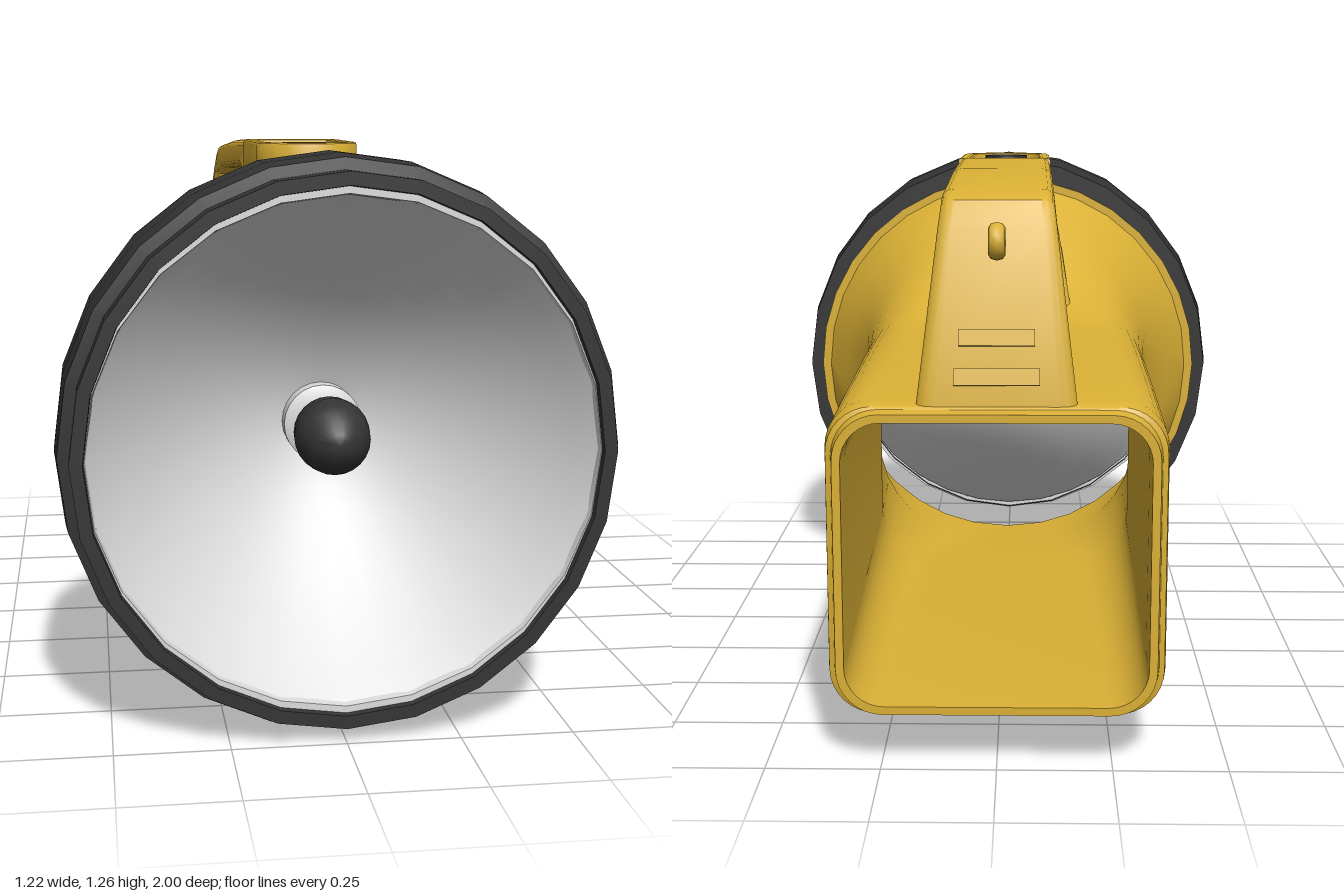
import * as THREE from 'three';
import { toCreasedNormals } from 'three/addons/utils/BufferGeometryUtils.js';

const CY = 0.628; // height of the lamp axis

const mat = (name, color, side = THREE.FrontSide) => {
  const m = new THREE.MeshStandardMaterial({ color, side });
  m.name = name;
  return m;
};

// Rounded rectangle cross-section, counter-clockwise seen from the front
function section([z, w, y0, y1, r]) {
  const pts = [], cy = (y0 + y1) / 2, h = (y1 - y0) / 2, n = 8;
  const corners = [[1, 1], [-1, 1], [-1, -1], [1, -1]];
  corners.forEach(([sx, sy], q) => {
    for (let i = 0; i <= n; i++) {
      const a = (q + i / n) * Math.PI / 2;
      pts.push([sx * (w - r) + r * Math.cos(a), cy + sy * (h - r) + r * Math.sin(a), z]);
    }
  });
  return pts;
}

// Skin a list of sections
function loft(stations) {
  const rings = stations.map(section), n = rings[0].length, idx = [];
  for (let i = 0; i < rings.length - 1; i++) {
    for (let j = 0; j < n; j++) {
      const a = i * n + j, b = i * n + (j + 1) % n, c = a + n, d = b + n;
      idx.push(a, c, b, b, c, d);
    }
  }
  const g = new THREE.BufferGeometry();
  g.setAttribute('position', new THREE.Float32BufferAttribute(rings.flat(2), 3));
  g.setIndex(idx);
  g.computeVertexNormals();
  return toCreasedNormals(g, 0.6);
}

// Revolve [radius, z] points about the lamp axis
function lathe(points, segments, crease = 0.6) {
  const g = new THREE.LatheGeometry(points.map(p => new THREE.Vector2(...p)), segments);
  g.rotateX(Math.PI / 2);
  return toCreasedNormals(g, crease);
}

// Plan outline with a rounded front end: half width, back z, front z
function slot(Kind, w, back, front) {
  const s = new Kind();
  s.moveTo(-w, back);
  s.lineTo(w, back);
  s.lineTo(w, front - w);
  s.absarc(0, front - w, w, 0, Math.PI, false);
  s.closePath();
  return s;
}

// Extrude a plan outline downward from y = 0
function slab(shape, depth, bevel = 0) {
  const g = new THREE.ExtrudeGeometry(shape, {
    depth: depth - 2 * bevel, bevelEnabled: bevel > 0, bevelThickness: bevel,
    bevelSize: bevel, bevelOffset: -bevel, bevelSegments: 2, curveSegments: 12,
  });
  g.translate(0, 0, bevel);
  g.rotateX(Math.PI / 2);
  return toCreasedNormals(g, 0.6);
}

export function createModel() {
  const root = new THREE.Group();
  root.name = 'flashlight';
  const yellow = mat('yellow plastic', 0xdab035, THREE.DoubleSide);
  const black = mat('black rubber', 0x343434);
  const silver = mat('reflector silver', 0xdcdcdc, THREE.DoubleSide);
  const grey = mat('lens grey', 0xb8b8b8);

  const add = (name, geo, material, x = 0, y = 0, z = 0) => {
    const m = new THREE.Mesh(geo, material);
    m.name = name;
    m.position.set(x, y, z);
    root.add(m);
    return m;
  };

  // Hollow body: round at the front, rounded square at the open back
  add('body', loft([
    [0.56, 0.56, 0.07, 1.188, 0.558],
    [0.53, 0.56, 0.07, 1.188, 0.558],
    [0.53, 0.535, 0.09, 1.165, 0.53],
    [0.43, 0.47, 0.097, 1.11, 0.44],
    [0.32, 0.408, 0.105, 1.02, 0.33],
    [0.2, 0.39, 0.112, 0.93, 0.24],
    [0.06, 0.378, 0.12, 0.852, 0.16],
    [-0.2, 0.374, 0.12, 0.832, 0.13],
    [-0.6, 0.369, 0.116, 0.812, 0.11],
    [-0.93, 0.365, 0.112, 0.797, 0.1],
    [-0.965, 0.36, 0.115, 0.79, 0.1],
    [-0.97, 0.348, 0.122, 0.785, 0.1],
    [-1.0, 0.343, 0.125, 0.78, 0.1],
    [-1.0, 0.325, 0.143, 0.762, 0.085],
    [-0.9, 0.325, 0.148, 0.762, 0.09],
    [0.06, 0.34, 0.155, 0.81, 0.14],
    [0.32, 0.37, 0.14, 0.97, 0.3],
    [0.5, 0.48, 0.13, 1.1, 0.47],
  ]), yellow);

  // Rubber head ring
  const head = add('headRing', lathe([
    [0.53, 0.55], [0.612, 0.55], [0.621, 0.62], [0.627, 0.7], [0.627, 0.84],
    [0.62, 0.925], [0.594, 0.93], [0.594, 1.0], [0.565, 1.0], [0.56, 0.96],
  ], 24), black, 0, CY, 0);
  head.scale.x = 0.975;

  // Silver rim, bowl reflector and bulb
  add('reflectorRim', lathe([
    [0.568, 0.985], [0.548, 0.985], [0.545, 0.965],
  ], 24), silver, 0, CY, 0);
  const bowl = [];
  for (let i = 0; i <= 12; i++) {
    const r = 0.547 - 0.467 * i / 12;
    bowl.push([r, 0.57 + 0.4 * Math.pow(r / 0.547, 1.7)]);
  }
  add('reflector', lathe(bowl, 32, 1), silver, 0, CY, 0);
  add('bulbSocket', lathe([
    [0.09, 0.56], [0.09, 0.63], [0.07, 0.64], [0, 0.64],
  ], 24), silver, 0, CY, 0);
  add('bulb', lathe([
    [0.045, 0.63], [0.06, 0.66], [0.08, 0.72], [0.085, 0.77],
    [0.078, 0.82], [0.055, 0.86], [0.025, 0.88], [0, 0.884],
  ], 24, 1.2), black, 0, CY, 0);

  // Carrying handle: side profile as [z, y], widened toward its two feet
  const profile = [
    [0.5, 1.12], [0.51, 1.165], [0.455, 1.2], [0.05, 1.2], [0.04, 1.264],
    [-0.35, 1.255], [-0.78, 1.23], [-0.84, 1.21], [-0.87, 1.16], [-0.965, 0.79],
    [-0.965, 0.768], [-0.865, 0.768], [-0.81, 1.09], [-0.785, 1.14], [-0.72, 1.16],
    [-0.1, 1.19], [0.07, 1.165], [0.13, 1.12], [0.16, 1.06], [0.07, 0.85],
    [0.07, 0.825], [0.3, 0.99],
  ].map(p => new THREE.Vector2(...p));
  const handle = new THREE.ExtrudeGeometry(new THREE.Shape(profile), {
    depth: 0.19, bevelEnabled: true, bevelThickness: 0.028, bevelSize: 0.016,
    bevelOffset: -0.016, bevelSegments: 3,
  });
  handle.translate(0, 0, -0.095);
  handle.rotateY(-Math.PI / 2);
  const p = handle.attributes.position;
  for (let i = 0; i < p.count; i++) {
    const y = p.getY(i), z = p.getZ(i);
    let k = 0.98;
    if (z < -0.75) k += 0.4 * THREE.MathUtils.clamp((1.2 - y) / 0.4, 0, 1);
    if (z > 0.02) k += 0.5 * THREE.MathUtils.clamp((1.19 - y) / 0.3, 0, 1);
    if (z > 0.42) k *= 0.72;
    p.setX(i, p.getX(i) * k);
  }
  add('handle', toCreasedNormals(handle, 0.7), yellow);

  // Switch housing rim with its sunken panel, button and indicator
  const rim = slot(THREE.Shape, 0.122, 0.03, 0.468);
  rim.holes.push(slot(THREE.Path, 0.092, 0.06, 0.435));
  add('switchRim', slab(rim, 0.11, 0.008), yellow, 0, 1.265, 0);
  add('switchPanel', slab(slot(THREE.Shape, 0.093, 0.16, 0.436), 0.03), black, 0, 1.222, 0);
  add('switchButton', new THREE.CylinderGeometry(0.058, 0.066, 0.045, 20), black, 0, 1.24, 0.31);
  add('indicatorFrame', new THREE.BoxGeometry(0.184, 0.04, 0.1), yellow, 0, 1.205, 0.11);
  add('indicatorLens', new THREE.CylinderGeometry(0.06, 0.06, 0.008, 20), grey, 0, 1.229, 0.105)
    .scale.z = 0.55;

  // Strap loop and latch steps on the rear post
  const loop = add('strapLoop', new THREE.TorusGeometry(0.029, 0.011, 8, 16), yellow, 0, 1.13, -0.915);
  loop.rotation.y = Math.PI / 2;
  loop.scale.z = 1.6;
  [[0.93, -0.932, 0.16], [0.85, -0.952, 0.18]].forEach(([y, z, w]) => {
    const step = add('latchStep', new THREE.BoxGeometry(w, 0.035, 0.03), yellow, 0, y, z);
    step.rotation.x = 0.25;
  });

  // Foot bar under the rear
  add('footBar', new THREE.BoxGeometry(0.4, 0.05, 0.025), yellow, 0, 0.1, -0.835);

  return root;
}
